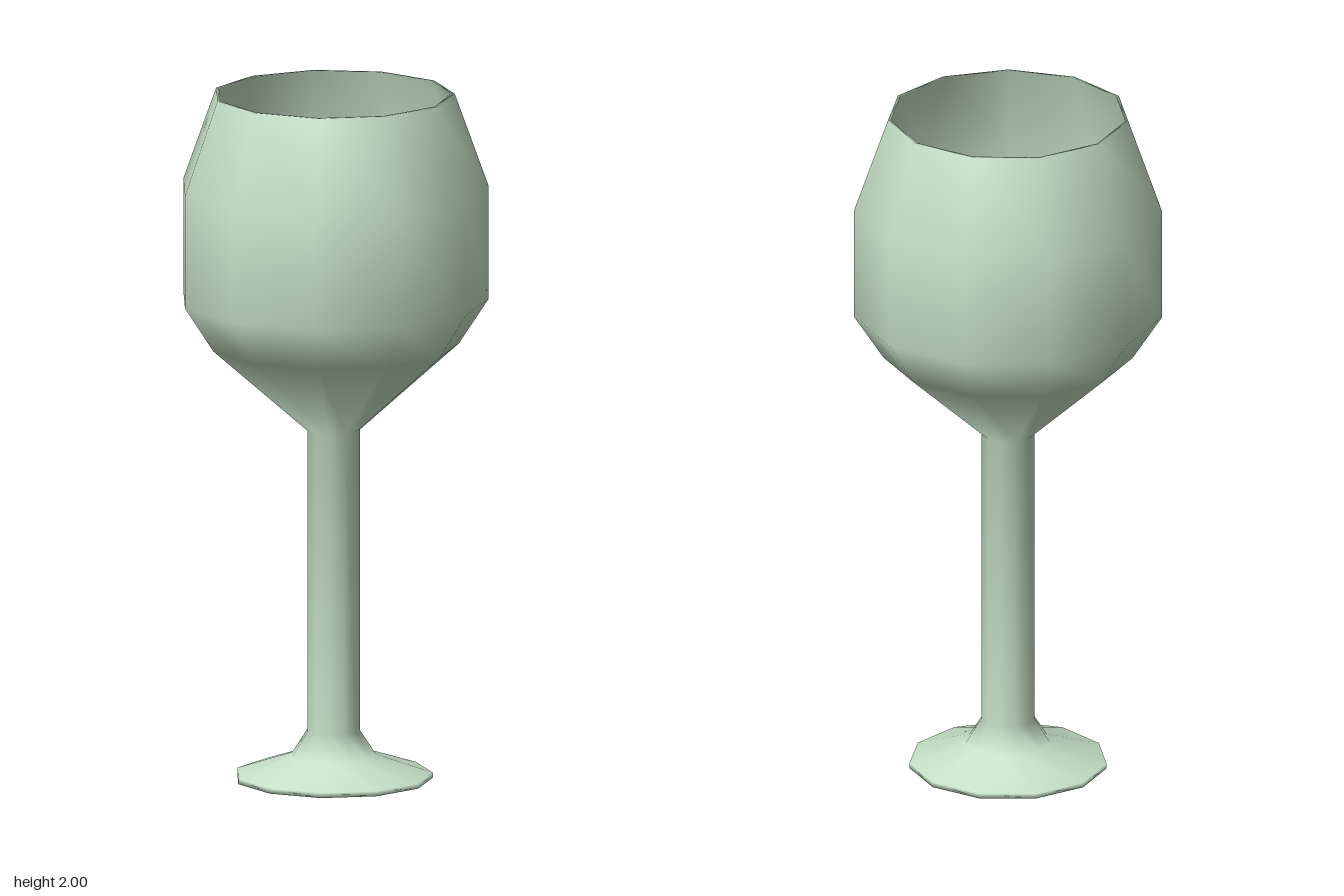
import * as THREE from 'three';

const SIDES = 11;

// Turns [radius, height] pairs into an 11-sided smooth solid with a corner at the back
function turned(name, profile, color) {
  const points = profile.map(([r, y]) => new THREE.Vector2(r, y));
  const geometry = new THREE.LatheGeometry(points, SIDES, Math.PI);
  const mesh = new THREE.Mesh(geometry, new THREE.MeshStandardMaterial({ color, side: THREE.DoubleSide }));
  mesh.name = name;
  mesh.position.z = 0.009; // an odd-sided solid is centred by its extent
  return mesh;
}

export function createModel() {
  const group = new THREE.Group();
  group.name = 'wineGlass';

  // Foot, stem, outer bowl, rim and inner bowl in one continuous profile
  group.add(turned('glass', [
    [0, 0], [0.285, 0], [0.285, 0.015],
    [0.122, 0.07], [0.077, 0.14],
    [0.077, 1.02], [0.36, 1.27], [0.445, 1.40], [0.445, 1.73], [0.348, 2],
    [0.339, 2], [0.435, 1.73], [0.435, 1.405], [0.35, 1.28], [0.07, 1.035], [0, 1.035],
  ], 0xc5dfc6));

  // Wine filling the lower bowl
  group.add(turned('wine', [
    [0, 1.045], [0.06, 1.045], [0.342, 1.288], [0.427, 1.41], [0.427, 1.5], [0, 1.5],
  ], 0x8a2c5c));

  return group;
}
